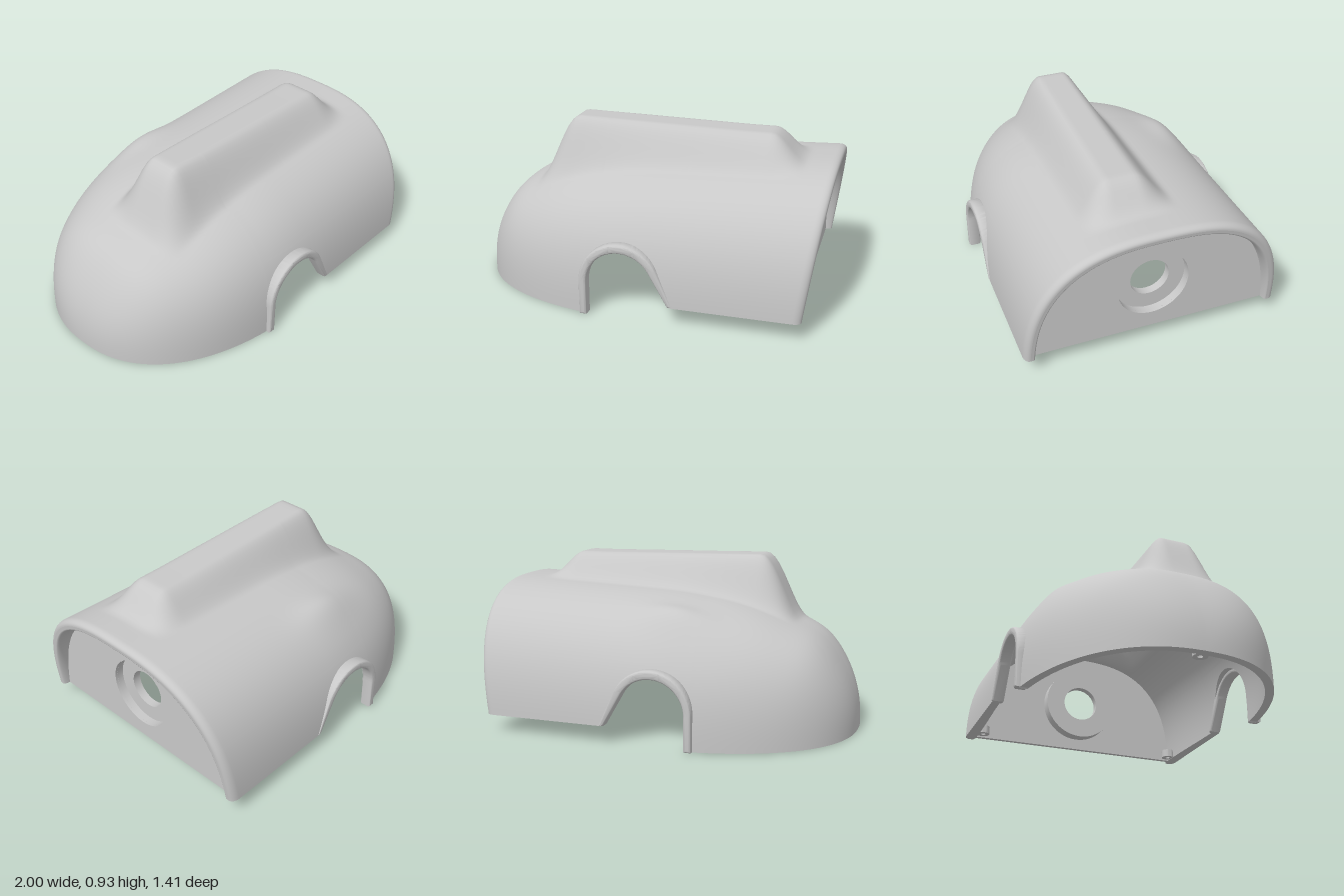
import * as THREE from 'three';
import { mergeVertices, toCreasedNormals } from 'three/addons/utils/BufferGeometryUtils.js';

const N = 2.7;                       // squareness of the body section
const WALL = 0.045;
const REAR = 0.905;                  // rear end at the bottom edge
const LOW = 0.096;                   // height of the rear bottom edge
const clamp = (v) => Math.min(1, Math.max(0, v));
const smooth = (a, b, v) => { const t = clamp((v - a) / (b - a)); return t * t * (3 - 2 * t); };
const bell = (v, mid, width) => Math.exp(-(((v - mid) / width) ** 2));

// Polar angle on the section at relative height k, and radius at an angle
const angleAt = (k) => Math.atan2(k, (1 - k ** N) ** (1 / N));
const radiusAt = (a) => (Math.abs(Math.cos(a)) ** N + Math.abs(Math.sin(a)) ** N) ** (-1 / N);

// Lower edge of the shell, with the side arches cut out
function lowEdge(s) {
  if (s < 0.137) return 0.185 + Math.sqrt(Math.max(0, 0.04 - (s + 0.04) ** 2));
  return LOW + (0.279 - LOW) * clamp((0.23 - s) / 0.093);
}

// Point on the shell: station s, v from 0 (+z edge) to 1 (-z edge), inset = inward offset
function shellPoint(s, low, v, inset) {
  const t = inset + (inset > 0 ? 0.017 * smooth(0.2, 0.8, s) : 0);
  const sx = Math.max(s, -1 + t);
  const f = (1 - clamp((0.1 - sx) / (1.1 - t)) ** 2.3) ** (1 / 2.3);
  const q = clamp((s - 0.86) / 0.045);
  const round = (1 - Math.sqrt(1 - q * q)) * (inset > 0 ? -0.015 : 0.03);
  const W = f * (0.703 - t - round) + 1e-5;
  const H = f * (0.735 + 0.05 * clamp((s + 0.2) / 1.1) + 0.045 * bell(s, -0.82, 0.13) - t - round) + 1e-5;
  // the outer fifths of v lie below a fixed height, so that the arches only bend those
  const a0 = angleAt(Math.min(low / H, 0.78)), a1 = angleAt(Math.min(0.43 / H, 0.8));
  const m = Math.min(v, 1 - v);
  const half = m < 0.2 ? a0 + (a1 - a0) * m / 0.2 : a1 + (Math.PI / 2 - a1) * (m - 0.2) / 0.3;
  const a = v > 0.5 ? Math.PI - half : half;
  const r = radiusAt(a);
  const z = W * Math.cos(a) * r;
  let y = H * Math.sin(a) * r;
  const x = sx + 0.14 * Math.max(0, y - 0.1) * smooth(0.2, 0.9, s);
  // raised ridge along the top, and a faint bulge beside it
  const ridge = smooth(-0.66, -0.43, x) * (1 - smooth(0.64, 0.84, x)) * smooth(0.255, 0.07, Math.abs(z - 0.1));
  y += ridge * (0.934 - 0.018 * clamp((x + 0.4) / 0.9) - t - y);
  y += 0.04 * smooth(0.4, 0.5, y) * bell(x, -0.1, 0.2) * bell(z, -0.46, 0.09);
  return [x, y, z];
}

// Surface through a grid of points fn(i, j); the column "skip" is left out
function gridGeometry(nu, nv, fn, flip, skip = -1) {
  const pos = [], idx = [];
  for (let i = 0; i <= nu; i++) for (let j = 0; j <= nv; j++) pos.push(...fn(i, j));
  for (let i = 0; i < nu; i++) for (let j = 0; j < nv && i !== skip; j++) {
    const a = i * (nv + 1) + j, b = a + nv + 1;
    if (flip) idx.push(a, a + 1, b, b, a + 1, b + 1);
    else idx.push(a, b, a + 1, b, b + 1, a + 1);
  }
  const g = new THREE.BufferGeometry();
  g.setAttribute('position', new THREE.Float32BufferAttribute(pos, 3));
  g.setIndex(idx);
  const merged = mergeVertices(g, 1e-5);
  merged.computeVertexNormals();
  return merged;
}

export function createModel() {
  const model = new THREE.Group();
  model.name = 'hollowCowl';
  const grey = new THREE.MeshStandardMaterial({ color: 0xc8c8c8, side: THREE.DoubleSide });
  grey.name = 'plain grey';
  const add = (name, geo, parent = model) => {
    const m = new THREE.Mesh(geo, grey);
    m.name = name;
    parent.add(m);
    return m;
  };
  const lathe = (points) => toCreasedNormals(new THREE.LatheGeometry(points.map((p) => new THREE.Vector2(...p)), 48), 0.6);

  // Stations along the shell: nose, arch, rear, rounded rim
  const cols = [], archStart = 54;
  for (let i = 0; i <= archStart; i++) cols.push([-1 + 0.76 * (i / archStart) ** 2, 0]);
  for (let i = 0; i <= 30; i++) {
    const s = i === 0 ? -0.24 : -0.24 + 0.235 * (1 - Math.cos(Math.PI * i / 30));
    cols.push([s, lowEdge(s)]);
  }
  for (let i = 1; i <= 34; i++) cols.push([0.23 + 0.63 * i / 34, LOW]);
  for (let i = 1; i <= 8; i++) cols.push([0.86 + (REAR - 0.86) * Math.sin(Math.PI * i / 16), LOW]);
  const nu = cols.length - 1, nv = 140;
  const at = (i, v, t) => shellPoint(cols[i][0], cols[i][1], v, t);

  const shell = new THREE.Group();
  shell.name = 'shell';
  model.add(shell);
  add('outerSkin', gridGeometry(nu, nv, (i, j) => at(i, j / nv, 0), false, archStart), shell);
  add('innerSkin', gridGeometry(nu, nv, (i, j) => at(i, j / nv, WALL), true, archStart), shell);
  add('lowerEdgeLeft', gridGeometry(nu, 1, (i, j) => at(i, 0, j * WALL), true), shell);
  add('lowerEdgeRight', gridGeometry(nu, 1, (i, j) => at(i, 1, j * WALL)), shell);
  add('rearRim', gridGeometry(1, nv, (i, j) => at(nu, j / nv, i * WALL)), shell);

  // Bulkhead: thin plate with a recessed cup that has a hole in its floor
  const bulkhead = new THREE.Group();
  bulkhead.name = 'bulkhead';
  model.add(bulkhead);
  const pts = [], low = angleAt(LOW / 0.735);
  for (let i = 0; i <= 60; i++) {
    const a = low + (Math.PI - 2 * low) * i / 60, r = radiusAt(a);
    pts.push(new THREE.Vector2(0.66 * Math.cos(a) * r, 0.735 * Math.sin(a) * r));
  }
  const shape = new THREE.Shape(pts);
  shape.holes.push(new THREE.Path().absarc(0, 0.38, 0.195, 0, Math.PI * 2, true));
  const plate = new THREE.ExtrudeGeometry(shape, { depth: 0.025, bevelEnabled: false, curveSegments: 48 });
  plate.rotateY(Math.PI / 2).translate(0.845, 0, 0);
  add('bulkheadPlate', toCreasedNormals(plate, 0.6), bulkhead);
  const cup = lathe([[0.107, 0], [0.22, 0], [0.22, 0.08], [0.195, 0.08], [0.195, 0.045], [0.107, 0.045], [0.107, 0]]);
  cup.rotateZ(-Math.PI / 2).translate(0.775, 0.38, 0);
  add('bulkheadCup', cup, bulkhead);

  // Raised trims round the side arches
  const end = 28 * Math.PI / 180;
  const trim = new THREE.Shape();
  trim.moveTo(-0.262, 0);
  trim.lineTo(-0.262, 0.185);
  trim.absarc(-0.04, 0.188, 0.222, Math.PI, end, true);
  trim.lineTo(0.246, 0.096);
  trim.lineTo(0.219, 0.096);
  trim.absarc(-0.04, 0.183, 0.181, end, Math.PI, false);
  trim.lineTo(-0.221, 0);
  trim.closePath();
  const trimGeo = toCreasedNormals(new THREE.ExtrudeGeometry(trim, {
    depth: 0.042, curveSegments: 32, bevelThickness: 0.013, bevelSize: 0.013, bevelOffset: -0.013, bevelSegments: 4,
  }), 0.7);
  for (const side of [1, -1]) {
    const m = add(side > 0 ? 'archTrimLeft' : 'archTrimRight', trimGeo.clone());
    m.geometry.translate(0, 0, side > 0 ? 0.651 : -0.693);
  }

  // Small screw bosses inside the lower edge
  const bossGeo = lathe([[0.014, 0], [0.038, 0], [0.038, 0.046], [0.014, 0.046], [0.014, 0]]);
  for (const [name, x, y, z] of [['noseBoss', -0.925, 0.002, 0], ['rearBossLeft', 0.79, 0.098, 0.615], ['rearBossRight', 0.79, 0.098, -0.615]]) {
    add(name, bossGeo).position.set(x, y, z);
  }
  return model;
}
